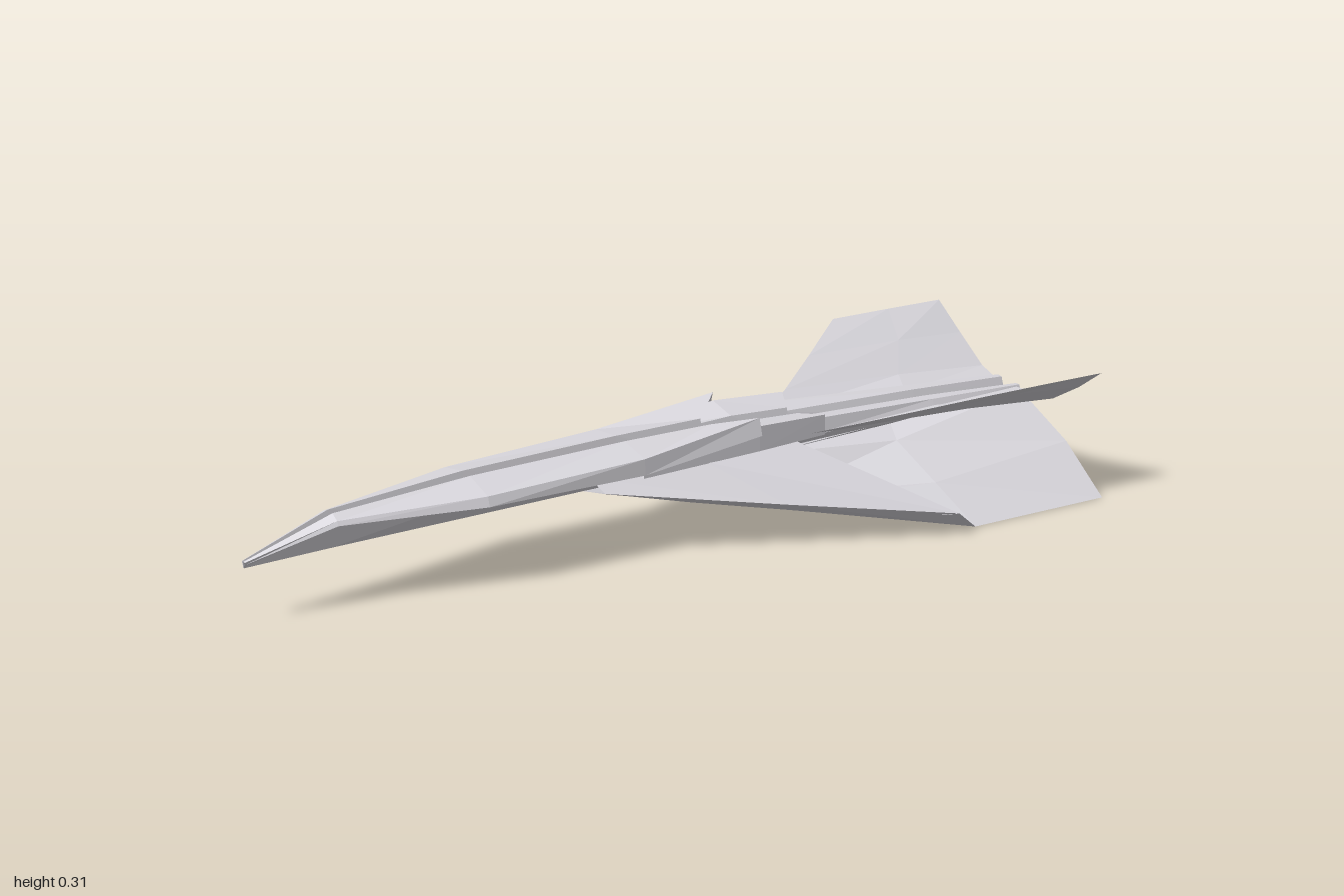
import * as THREE from 'three';

const hull = new THREE.MeshStandardMaterial({ color: 0xd9d7dd, side: THREE.DoubleSide });
hull.name = 'pale grey hull';

// Skin between rows of [x, y, z] points; side = 1 or -1 mirrors across z
function skin(name, rows, side, closed = false) {
  const pos = [];
  const tri = (a, b, c) => {
    for (const p of side > 0 ? [a, b, c] : [a, c, b]) pos.push(p[0], p[1], p[2] * side);
  };
  const n = rows[0].length;
  for (let i = 0; i < rows.length - 1; i++) {
    const a = rows[i], b = rows[i + 1];
    for (let j = 0; j < (closed ? n : n - 1); j++) {
      const k = (j + 1) % n;
      tri(a[j], a[k], b[k]);
      tri(a[j], b[k], b[j]);
    }
  }
  const g = new THREE.BufferGeometry();
  g.setAttribute('position', new THREE.Float32BufferAttribute(pos, 3));
  g.computeVertexNormals();
  const mesh = new THREE.Mesh(g, hull);
  mesh.name = name;
  return mesh;
}

// Half-fuselage ring: keel, tuck under the flap, flap edge, shoulder, inner lip, groove floor
function ring(x, keelY, outer, shoulder, lip, grooveY, slant = 0, centreZ = 0.001) {
  return [
    [x - slant, keelY, centreZ],
    [x, outer[1] - 0.004, centreZ + outer[0] * 0.3],
    [x, outer[1], outer[0]],
    [x, shoulder[1], shoulder[0]],
    [x - slant, lip[1], lip[0]],
    [x - slant, grooveY, centreZ],
  ];
}

function half(side) {
  const g = new THREE.Group();
  g.name = side > 0 ? 'leftHalf' : 'rightHalf';

  // Long pointed nose, open at its slanted rear step
  g.add(skin('noseBody', [
    ring(-1, 0.13, [0.005, 0.138], [0.007, 0.144], [0.003, 0.146], 0.14),
    ring(-0.8, 0.135, [0.04, 0.197], [0.035, 0.207], [0.012, 0.217], 0.15),
    ring(-0.48, 0.14, [0.11, 0.2], [0.102, 0.222], [0.018, 0.241], 0.155),
    ring(-0.1, 0.146, [0.113, 0.2], [0.11, 0.237], [0.02, 0.25], 0.16),
    ring(0.2, 0.155, [0.112, 0.236], [0.1, 0.275], [0.022, 0.25], 0.165, 0.08),
  ], side, true));

  // Middle section tucked under the nose step
  g.add(skin('middleBody', [
    ring(-0.1, 0.142, [0.106, 0.19], [0.105, 0.215], [0.02, 0.23], 0.16),
    ring(0.2, 0.147, [0.103, 0.197], [0.1, 0.255], [0.022, 0.242], 0.163),
    ring(0.38, 0.152, [0.092, 0.2], [0.09, 0.247], [0.022, 0.235], 0.166, 0.03),
  ], side, true));

  // Tapering spine to the tail
  g.add(skin('tailSpine', [
    ring(0.32, 0.15, [0.085, 0.2], [0.075, 0.237], [0.022, 0.228], 0.165),
    ring(0.7, 0.16, [0.066, 0.2], [0.056, 0.217], [0.024, 0.216], 0.17, 0, 0.006),
    ring(0.96, 0.178, [0.046, 0.195], [0.042, 0.203], [0.028, 0.202], 0.182, 0, 0.02),
  ], side, true));

  // Raised thin rear wing: straight in front, sagging towards the trailing edge
  g.add(skin('upperWing', [
    [[0.3, 0.2, 0.07], [0.42, 0.23, 0.14], [0.54, 0.268, 0.225], [0.67, 0.311, 0.32]],
    [[0.7, 0.203, 0.055], [0.74, 0.212, 0.14], [0.8, 0.262, 0.23], [0.83, 0.311, 0.32]],
    [[0.95, 0.2, 0.045], [0.985, 0.193, 0.14], [0.985, 0.25, 0.235], [0.98, 0.31, 0.32]],
  ], side));

  // Upper layer of the drooping wing, folded over at its leading edge
  const foldRear = [[0.3, 0.2, 0.088], [0.57, 0.06, 0.355], [0.64, 0.003, 0.322]];
  g.add(skin('wingFold', [
    [[-0.2, 0.19, 0.04], [-0.18, 0.16, 0.075], [-0.16, 0.145, 0.045]],
    [[0.06, 0.197, 0.1], [0.2, 0.108, 0.218], [0.24, 0.075, 0.184]],
    foldRear,
  ], side));

  // Narrow hem turned inside the open end of the fold
  g.add(skin('foldHem', [
    foldRear,
    [[0.27, 0.183, 0.09], [0.54, 0.055, 0.335], [0.61, 0.012, 0.315]],
  ], side));

  // Lower layer, continuing behind the fold as the rear panel
  g.add(skin('lowerWing', [
    [[-0.2, 0.146, 0], [-0.18, 0.145, 0.02], [-0.17, 0.145, 0.033], [-0.16, 0.145, 0.045]],
    [[0.03, 0.137, 0], [0.03, 0.095, 0.05], [0.035, 0.1, 0.082], [0.04, 0.11, 0.114]],
    [[0.28, 0.142, 0], [0.28, 0.065, 0.07], [0.26, 0.069, 0.127], [0.24, 0.075, 0.184]],
    [[0.62, 0.155, 0.004], [0.6, 0.135, 0.06], [0.62, 0.07, 0.19], [0.64, 0.003, 0.322]],
    [[0.95, 0.182, 0.022], [0.955, 0.195, 0.05], [0.995, 0.1, 0.185], [1, 0.003, 0.322]],
  ], side));
  return g;
}

export function createModel() {
  const model = new THREE.Group();
  model.name = 'foldedWingCraft';
  model.add(half(1), half(-1));
  model.position.y = -0.003;
  return model;
}
